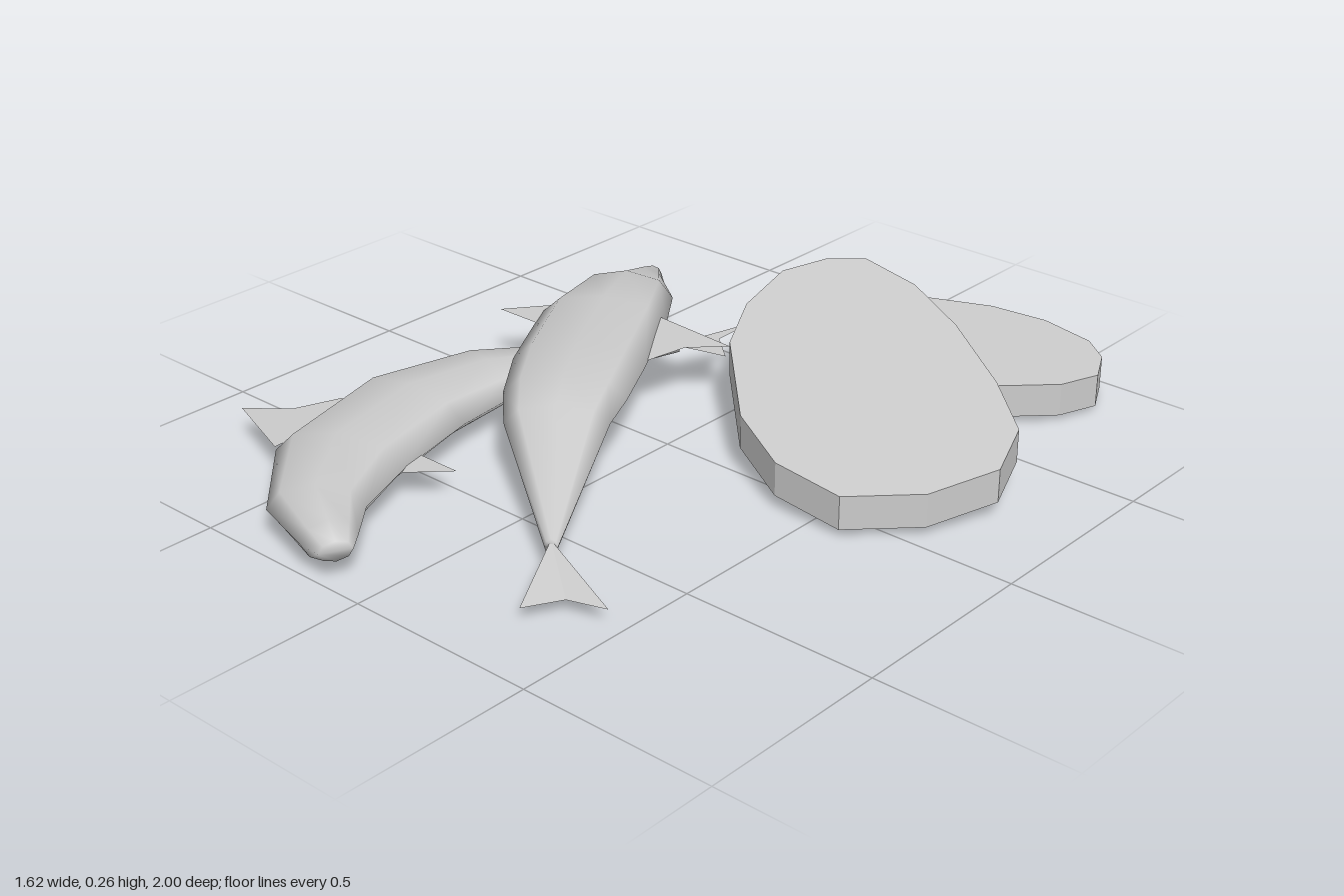
import * as THREE from 'three';

const grey = new THREE.MeshStandardMaterial({ color: 0xcccccc });
grey.name = 'stone grey';
const finGrey = new THREE.MeshStandardMaterial({ color: 0xcccccc, side: THREE.DoubleSide });
finGrey.name = 'fin grey';

function add(parent, name, geometry, material) {
  const mesh = new THREE.Mesh(geometry, material);
  mesh.name = name;
  parent.add(mesh);
}

// Smooth body through elliptical stations: [x, y, z, half width, half height]
function bodyGeometry(stations, sides = 8) {
  const pos = [], index = [], last = stations.length - 1;
  stations.forEach(([x, y, z, w, h], i) => {
    const p = stations[Math.max(i - 1, 0)], q = stations[Math.min(i + 1, last)];
    const dx = q[0] - p[0], dz = q[2] - p[2], len = Math.hypot(dx, dz);
    for (let j = 0; j < sides; j++) {
      const a = (j / sides) * Math.PI * 2;
      const side = w * Math.cos(a);
      pos.push(x + side * dz / len, y + h * Math.sin(a), z - side * dx / len);
    }
  });
  for (let i = 0; i < last; i++) {
    for (let j = 0; j < sides; j++) {
      const k = (j + 1) % sides;
      const a = i * sides + j, b = i * sides + k;
      index.push(a, b, a + sides, b, b + sides, a + sides);
    }
  }
  // Closed nose and tail root
  for (let j = 1; j < sides - 1; j++) {
    const e = last * sides;
    index.push(0, j + 1, j, e, e + j, e + j + 1);
  }
  const g = new THREE.BufferGeometry();
  g.setAttribute('position', new THREE.Float32BufferAttribute(pos, 3));
  g.setIndex(index);
  g.computeVertexNormals();
  return g;
}

// Flat fin as a fan from its first corner
function finGeometry(points) {
  const pos = [];
  for (let i = 1; i < points.length - 1; i++) pos.push(...points[0], ...points[i], ...points[i + 1]);
  const g = new THREE.BufferGeometry();
  g.setAttribute('position', new THREE.Float32BufferAttribute(pos, 3));
  g.computeVertexNormals();
  return g;
}

function fish(name, stations, fins) {
  const group = new THREE.Group();
  group.name = name;
  add(group, 'body', bodyGeometry(stations), grey);
  for (const [finName, points] of fins) add(group, finName, finGeometry(points), finGrey);
  return group;
}

// Slab with an [x, z] outline, its base on the plane y = a + bx + cz
function slabGeometry(outline, thickness, a, b, c) {
  const shape = new THREE.Shape(outline.map(([x, z]) => new THREE.Vector2(x, -z)));
  const g = new THREE.ExtrudeGeometry(shape, { depth: thickness, bevelEnabled: false });
  g.rotateX(-Math.PI / 2);
  const p = g.attributes.position;
  for (let i = 0; i < p.count; i++) p.setY(i, p.getY(i) + a + b * p.getX(i) + c * p.getZ(i));
  g.computeVertexNormals();
  return g;
}

export function createModel() {
  const model = new THREE.Group();
  model.name = 'fishAndSlabs';

  // Straight fish lying on top
  model.add(fish('upperFish', [
    [-0.65, 0.065, -0.67, 0.025, 0.02],
    [-0.62, 0.06, -0.6, 0.06, 0.052],
    [-0.5, 0.132, -0.4, 0.125, 0.066],
    [-0.41, 0.15, -0.215, 0.165, 0.062],
    [-0.256, 0.16, 0.04, 0.165, 0.062],
    [-0.15, 0.162, 0.2, 0.15, 0.06],
    [-0.08, 0.15, 0.3, 0.125, 0.05],
    [0.21, 0.065, 0.62, 0.015, 0.02],
  ], [
    ['tailFin', [[0.36, 0.04, 0.73], [0.46, 0.045, 0.705], [0.2, 0.075, 0.61], [0.31, 0.04, 0.82]]],
    ['leftFin', [[-0.28, 0.165, -0.29], [-0.04, 0.16, -0.28], [-0.12, 0.16, -0.2], [-0.14, 0.16, -0.08]]],
    ['rightFin', [[-0.54, 0.155, -0.2], [-0.64, 0.155, -0.07], [-0.5, 0.155, -0.07]]],
  ]));

  // Curved fish lying underneath
  model.add(fish('lowerFish', [
    [-0.11, 0.078, 0.96, 0.04, 0.025],
    [-0.16, 0.078, 0.935, 0.065, 0.05],
    [-0.29, 0.078, 0.86, 0.112, 0.062],
    [-0.43, 0.078, 0.67, 0.163, 0.07],
    [-0.51, 0.08, 0.37, 0.17, 0.062],
    [-0.485, 0.083, 0.13, 0.135, 0.048],
    [-0.37, 0.088, -0.09, 0.07, 0.032],
    [-0.23, 0.095, -0.3, 0.015, 0.015],
  ], [
    ['tailFin', [[-0.16, 0.11, -0.38], [-0.08, 0.11, -0.31], [-0.24, 0.1, -0.29], [-0.15, 0.12, -0.49]]],
    ['rightFin', [[-0.59, 0.08, 0.73], [-0.81, 0.08, 0.65], [-0.715, 0.08, 0.57], [-0.67, 0.08, 0.45], [-0.6, 0.08, 0.5]]],
    ['leftFin', [[-0.32, 0.08, 0.53], [-0.18, 0.08, 0.53], [-0.27, 0.08, 0.62]]],
  ]));

  // Small slab under the far edge of the large one
  add(model, 'smallSlab', slabGeometry([
    [-0.04, -0.63], [0.03, -0.5], [0.18, -0.39], [0.32, -0.37], [0.43, -0.48], [0.56, -0.64],
    [0.64, -0.74], [0.675, -0.85], [0.63, -0.94], [0.56, -0.99], [0.42, -1], [0.28, -0.96],
    [0.09, -0.84], [0.01, -0.75],
  ], 0.085, 0.08, -0.09, 0), grey);

  // Large tilted slab
  add(model, 'largeSlab', slabGeometry([
    [-0.11, -0.57], [-0.08, -0.39], [0, -0.23], [0.22, -0.01], [0.4, 0.08], [0.59, 0.085],
    [0.735, -0.05], [0.805, -0.23], [0.75, -0.385], [0.6, -0.51], [0.38, -0.65],
    [0.19, -0.735], [0.02, -0.755], [-0.06, -0.69],
  ], 0.085, 0.088, -0.089, -0.124), grey);

  return model;
}
